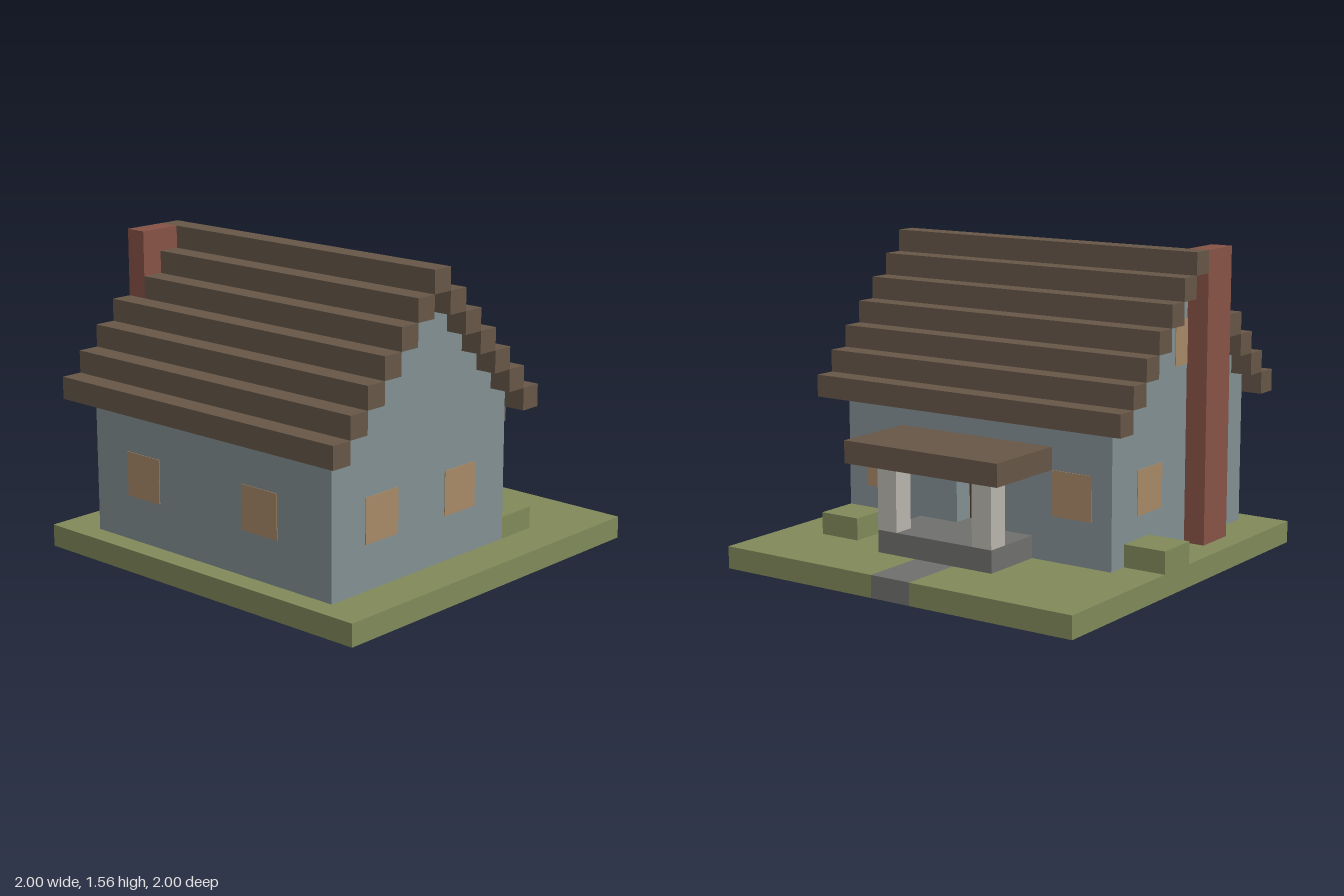
import * as THREE from 'three';

const mat = (name, color) => {
  const m = new THREE.MeshStandardMaterial({ color });
  m.name = name;
  return m;
};

export function createModel() {
  const grass = mat('grass green', 0x818a5a);
  const stone = mat('stone grey', 0x70706e);
  const wall = mat('wall blue grey', 0x839094);
  const shingle = mat('roof brown', 0x675748);
  const brick = mat('brick red', 0x885347);
  const pane = mat('window amber', 0xa98a68);
  const cream = mat('post cream', 0xb9b6ae);
  const wood = mat('door brown', 0x54402f);

  // Everything is laid out on a block grid, 18 blocks wide
  const house = new THREE.Group();
  house.name = 'cottage';
  house.scale.setScalar(1 / 9);

  const add = (name, geometry, material) => {
    const mesh = new THREE.Mesh(geometry, material);
    mesh.name = name;
    house.add(mesh);
  };
  // Box given by its limits on each axis
  const block = (name, material, [x0, x1], [y0, y1], [z0, z1]) => {
    const g = new THREE.BoxGeometry(x1 - x0, y1 - y0, z1 - z0);
    g.translate((x0 + x1) / 2, (y0 + y1) / 2, (z0 + z1) / 2);
    add(name, g, material);
  };
  const extrude = (points, depth) => new THREE.ExtrudeGeometry(
    new THREE.Shape(points.map(([a, b]) => new THREE.Vector2(a, b))),
    { depth, bevelEnabled: false });
  // One-block slab from a plan of [x, z] points
  const slab = (name, material, plan) => add(name,
    extrude(plan.map(([x, z]) => [x, -z]), 1).rotateX(-Math.PI / 2), material);

  // Ground, with the foundation, porch, path and chimney foot let into it
  const foot = [[1, -9], [1, -6], [3, -6], [3, -3], [7, -3], [7, 8], [-7, 8]];
  const footEnd = [[-7, -3], [-3, -3], [-3, -6], [-1, -6], [-1, -9]];
  slab('foundationAndPath', stone, [...foot, ...footEnd]);
  slab('ground', grass, [[9, -9], ...foot, [-7, 5], [-8, 5], [-8, 3], [-7, 3],
    ...footEnd, [-9, -9], [-9, 9], [9, 9]]);

  // House body with stepped gables
  const profile = [[-2, 1], [8, 1], [8, 8]];
  for (let y = 8; y < 13; y++) profile.push([15 - y, y], [15 - y, y + 1]);
  for (let y = 12; y >= 8; y--) profile.push([y - 10, y + 1], [y - 10, y]);
  add('houseBody', extrude(profile, 14).rotateY(-Math.PI / 2).translate(7, 0, 0), wall);

  // Back wall around the recessed door
  for (const s of [[-7, -1], [1, 7]]) block('backWall', wall, s, [1, 8], [-3, -2]);
  block('doorLintel', wall, [-1, 1], [5, 8], [-3, -2]);
  block('doorSill', stone, [-1, 1], [1, 2], [-3, -2]);
  block('door', wood, [-1, 1], [2, 5], [-2.04, -2]);

  // Stepped roof courses; two of them stop at the chimney
  for (let y = 7; y < 14; y++) {
    const z = 15 - y;
    const start = z === 3 || z === 4 ? -7 : -8;
    block('roofCourse', shingle, [start, 8], [y, y + 1], [z, z + 1]);
    if (y < 13) block('roofCourse', shingle, [-8, 8], [y, y + 1], [y - 11, y - 10]);
  }

  block('chimney', brick, [-8, -7], [0, 14], [3, 5]);

  // Porch
  block('porchFloor', stone, [-3, 3], [1, 2], [-6, -3]);
  block('porchRoof', shingle, [-4, 4], [5, 6], [-7, -3]);
  for (const x of [-3, 2]) block('porchPost', cream, [x, x + 1], [2, 5], [-6, -5]);

  // Bushes
  block('bush', grass, [5, 7], [1, 2], [-5, -3]);
  block('bush', grass, [-9, -7], [1, 2], [-2, 0]);

  // Windows as thin plates
  const t = 0.03;
  for (const x of [-5, 2]) block('frontWindow', pane, [x, x + 2], [3, 5], [8, 8 + t]);
  for (const x of [-6, 4]) block('backWindow', pane, [x, x + 2], [3, 5], [-3 - t, -3]);
  for (const z of [-1, 4]) {
    block('leftWindow', pane, [7, 7 + t], [3, 5], [z, z + 2]);
    block('rightWindow', pane, [-7 - t, -7], [3, 5], [z, z + 2]);
  }
  block('atticWindow', pane, [-7 - t, -7], [9, 11], [2, 3]);

  const model = new THREE.Group();
  model.name = 'cottageModel';
  model.add(house);
  return model;
}
